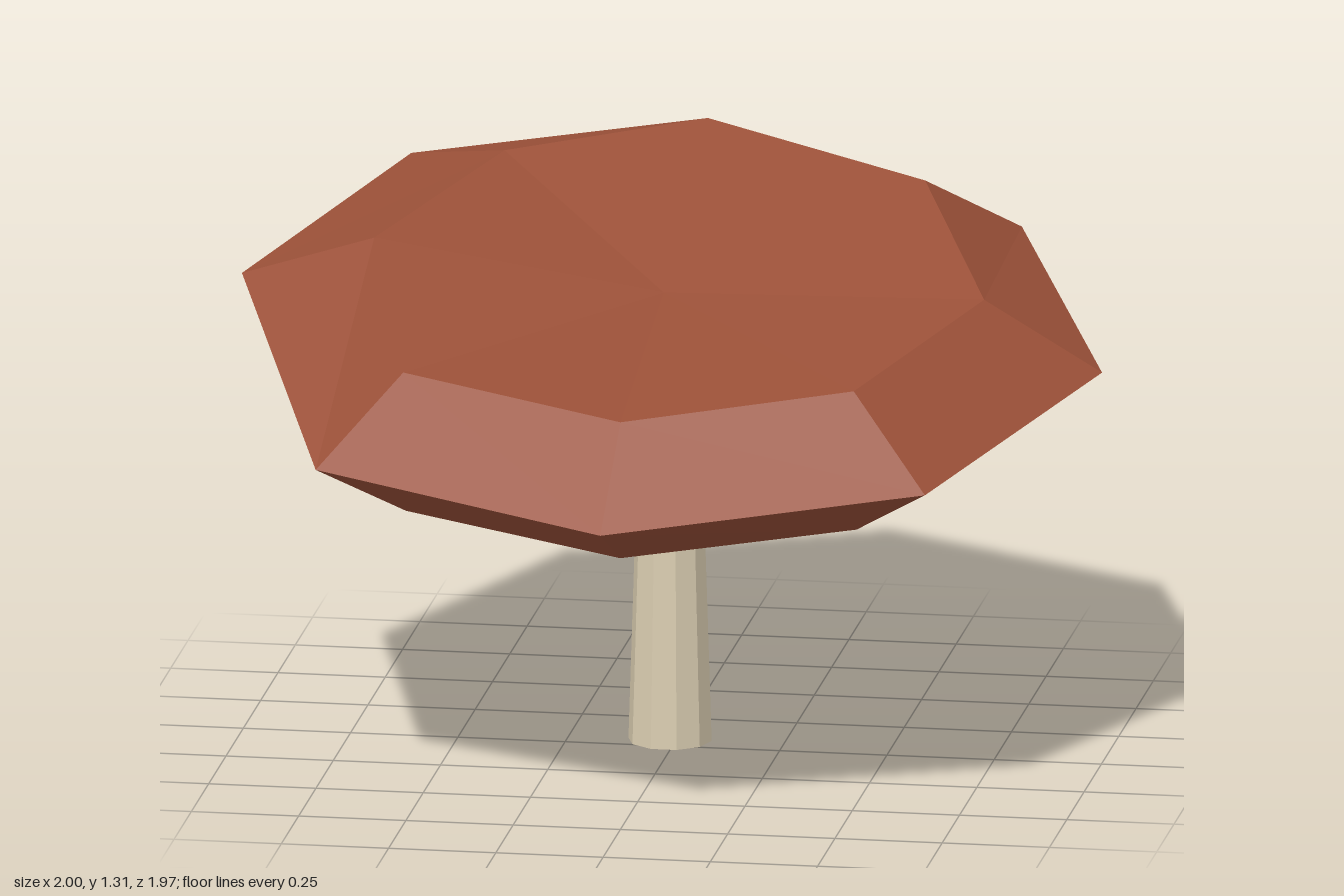
import * as THREE from 'three';

// Faceted skin: a pole above, rings of eight corners, a pole below
function facetedShell(top, rings, bottom) {
  const n = rings[0].length;
  const out = [];
  const tri = (a, b, c) => out.push(...a, ...b, ...c);
  const last = rings.length - 1;
  for (let i = 0; i < n; i++) {
    const j = (i + 1) % n;
    tri(top, rings[0][i], rings[0][j]);
    for (let r = 0; r < last; r++) {
      const a = rings[r], b = rings[r + 1];
      tri(a[i], b[i], b[j]);
      tri(a[i], b[j], a[j]);
    }
    tri(bottom, rings[last][j], rings[last][i]);
  }
  const geo = new THREE.BufferGeometry();
  geo.setAttribute('position', new THREE.Float32BufferAttribute(out, 3));
  geo.computeVertexNormals();
  return geo;
}

export function createModel() {
  const model = new THREE.Group();
  model.name = 'mushroom';

  // Corners run front, front left (+x), left, back left, back, and on round
  const upper = [
    [0, 0.97, 0.75], [0.51, 1.01, 0.54], [0.73, 1.10, 0.02], [0.51, 1.24, -0.49],
    [-0.03, 1.31, -0.70], [-0.47, 1.27, -0.49], [-0.69, 1.19, 0.03], [-0.54, 1.01, 0.54],
  ];
  const rim = [
    [-0.01, 0.76, 0.98], [0.70, 0.81, 0.69], [1.00, 0.93, -0.01], [0.70, 1.08, -0.71],
    [-0.01, 1.20, -0.99], [-0.72, 1.20, -0.69], [-1.00, 1.09, 0.02], [-0.72, 0.81, 0.69],
  ];
  const lower = [
    [-0.01, 0.63, 0.69], [0.51, 0.67, 0.50], [0.74, 0.755, -0.03], [0.51, 0.89, -0.55],
    [-0.03, 0.97, -0.75], [-0.60, 0.94, -0.58], [-0.80, 0.88, 0.02], [-0.54, 0.67, 0.50],
  ];

  // Tilted cap with a shallow dip in the crown
  const cap = new THREE.Mesh(
    facetedShell([-0.02, 1.08, 0], [upper, rim, lower], [-0.02, 0.78, -0.03]),
    new THREE.MeshStandardMaterial({ color: 0x9a5038, flatShading: true })
  );
  cap.name = 'cap';
  model.add(cap);

  // Tapered ten-sided stem, its top hidden inside the cap
  const height = 0.92;
  const stem = new THREE.Mesh(
    new THREE.CylinderGeometry(0.068, 0.097, height, 10),
    new THREE.MeshStandardMaterial({ color: 0xd9ccb0, flatShading: true })
  );
  stem.name = 'stem';
  stem.rotation.y = Math.PI / 2;
  stem.position.set(-0.015, height / 2, -0.06);
  model.add(stem);

  return model;
}
